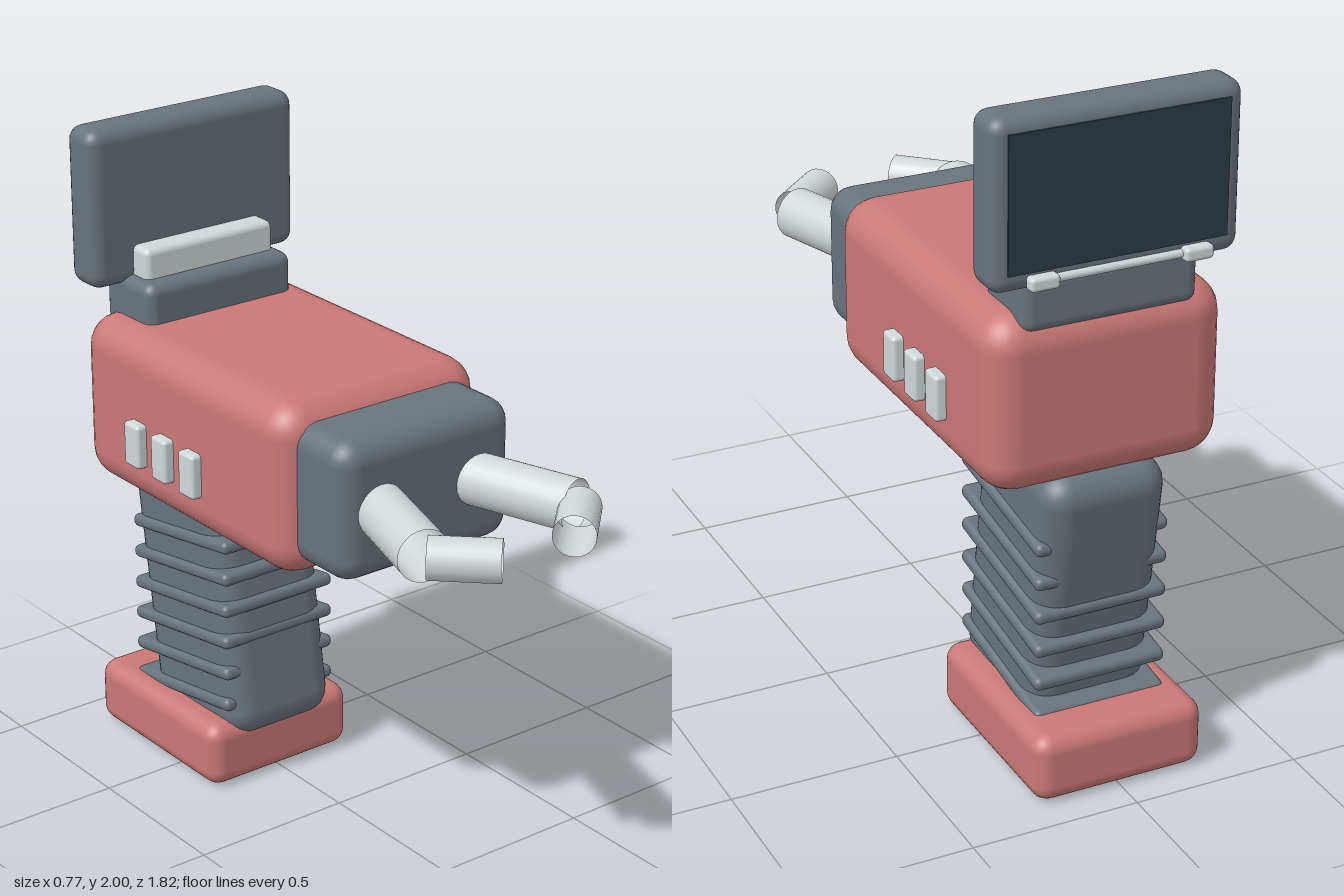
import * as THREE from 'three';
import { RoundedBoxGeometry } from 'three/addons/geometries/RoundedBoxGeometry.js';

function makeMaterial(name, color, side = THREE.FrontSide) {
  const m = new THREE.MeshStandardMaterial({ color, side });
  m.name = name;
  return m;
}

export function createModel() {
  const model = new THREE.Group();
  model.name = 'handheldScanner';
  const red = makeMaterial('softRed', 0xca7876);
  const grey = makeMaterial('slateGrey', 0x69737b);
  const light = makeMaterial('paleGrey', 0xd0d7d9, THREE.DoubleSide);
  const glass = makeMaterial('darkGlass', 0x2c3c44);

  function add(name, geometry, material, x, y, z) {
    const mesh = new THREE.Mesh(geometry, material);
    mesh.name = name;
    mesh.position.set(x, y, z);
    model.add(mesh);
    return mesh;
  }
  // Rounded box given by its extents: [min, max] on y and z, half width on x
  function block(name, material, halfX, [y0, y1], [z0, z1], radius, x = 0) {
    const g = new RoundedBoxGeometry(halfX * 2, y1 - y0, z1 - z0, 3, radius);
    return add(name, g, material, x, (y0 + y1) / 2, (z0 + z1) / 2);
  }
  // Cylinder between two points
  function tube(name, a, b, radius, open) {
    const from = new THREE.Vector3(...a), to = new THREE.Vector3(...b);
    const dir = to.clone().sub(from);
    const g = new THREE.CylinderGeometry(radius, radius, dir.length(), 24, 1, open);
    const mid = from.clone().lerp(to, 0.5);
    const mesh = add(name, g, light, mid.x, mid.y, mid.z);
    mesh.quaternion.setFromUnitVectors(new THREE.Vector3(0, 1, 0), dir.normalize());
  }

  // Main housing, nose and foot
  block('body', red, 0.355, [0.91, 1.43], [-0.81, 0.22], 0.1);
  block('nose', grey, 0.305, [0.96, 1.38], [0.1, 0.415], 0.07);
  block('base', red, 0.26, [0.005, 0.21], [-0.91, -0.285], 0.05);

  // Leaning handle with grip ribs
  const lean = -0.155;
  block('handle', grey, 0.187, [0.12, 0.965], [-0.77, -0.31], 0.08).rotation.x = lean;
  for (let i = 0; i < 6; i++) {
    const y = 0.757 - i * 0.1045;
    block('gripRib', grey, 0.202, [y - 0.02, y + 0.02], [-0.782, -0.29], 0.018).rotation.x = lean;
  }

  // Display on its mount, screen facing the back
  block('displayMount', grey, 0.26, [1.38, 1.55], [-0.8, -0.565], 0.035);
  block('mountBar', light, 0.228, [1.5, 1.64], [-0.72, -0.62], 0.02);
  block('display', grey, 0.365, [1.52, 2.0], [-0.828, -0.69], 0.042);
  add('screen', new THREE.BoxGeometry(0.64, 0.385, 0.008), glass, 0, 1.768, -0.828);
  tube('hingeRod', [-0.25, 1.55, -0.833], [0.25, 1.55, -0.833], 0.012, false);

  for (const s of [-1, 1]) {
    block('hingeEnd', light, 0.043, [1.53, 1.57], [-0.862, -0.822], 0.012, s * 0.225);
    // Side buttons
    for (const z of [-0.22, -0.358, -0.495]) {
      block('sideButton', light, 0.025, [1.042, 1.178], [z - 0.037, z + 0.037], 0.012, s * 0.362);
    }
    // Two-part pincer arm with hollow ends
    tube('upperArm', [s * 0.165, 1.17, 0.39], [s * 0.267, 1.17, 0.715], 0.077, true);
    tube('foreArm', [s * 0.27, 1.172, 0.73], [s * 0.126, 1.172, 0.868], 0.061, true);
  }
  return model;
}
